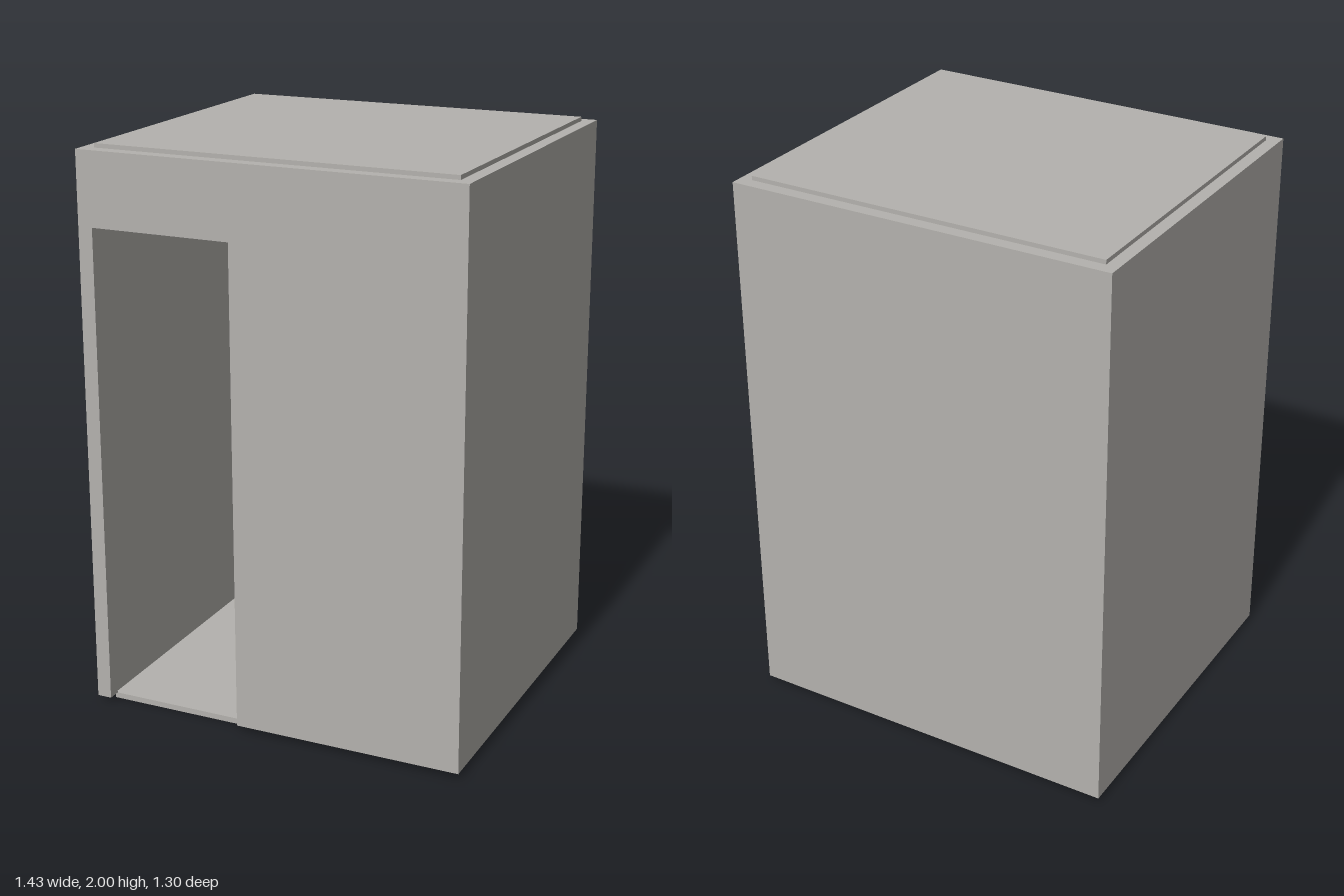
import * as THREE from 'three';

// Plan corners [x, z]: back left, back right, front right, front left as seen from the front
const outer = [[-0.717, -0.604], [0.665, -0.655], [0.717, 0.613], [-0.666, 0.65]];
const inner = [[-0.671, -0.56], [0.623, -0.608], [0.669, 0.569], [-0.623, 0.602]];

const FLOOR = 0.02, DOOR_TOP = 1.727, WALL_TOP = 1.985, ROOF_TOP = 2;

const toPlan = (points) => points.map(([x, z]) => new THREE.Vector2(x, -z));
const along = (a, b, t) => [a[0] + (b[0] - a[0]) * t, a[1] + (b[1] - a[1]) * t];

export function createModel() {
  const group = new THREE.Group();
  const concrete = new THREE.MeshStandardMaterial({ color: 0xb4b2ae });
  concrete.name = 'concrete grey';

  // Raises a plan outline, with an optional hole, from y0 to y1
  function prism(name, outline, y0, y1, hole) {
    const shape = new THREE.Shape(toPlan(outline));
    if (hole) shape.holes.push(new THREE.Path(toPlan(hole)));
    const geometry = new THREE.ExtrudeGeometry(shape, { depth: y1 - y0, bevelEnabled: false });
    geometry.rotateX(-Math.PI / 2).translate(0, y0, 0);
    const mesh = new THREE.Mesh(geometry, concrete);
    mesh.name = name;
    group.add(mesh);
  }

  // Slabs set within the inner line of the walls
  prism('floorSlab', inner, 0, FLOOR);
  prism('roofSlab', inner, WALL_TOP - 0.005, ROOF_TOP);

  // Walls up to door height, open at the doorway in the front wall
  const [oBL, oBR, oFR, oFL] = outer;
  const [iBL, iBR, iFR, iFL] = inner;
  prism('lowerWalls', [
    along(oFL, oFR, 0.405), oFR, oBR, oBL, oFL, along(oFL, oFR, 0.038),
    along(iFL, iFR, 0.006), iFL, iBL, iBR, iFR, along(iFL, iFR, 0.4),
  ], FLOOR, DOOR_TOP);

  // Closed ring of wall above the doorway
  prism('upperWalls', outer, DOOR_TOP, WALL_TOP, inner);

  return group;
}
